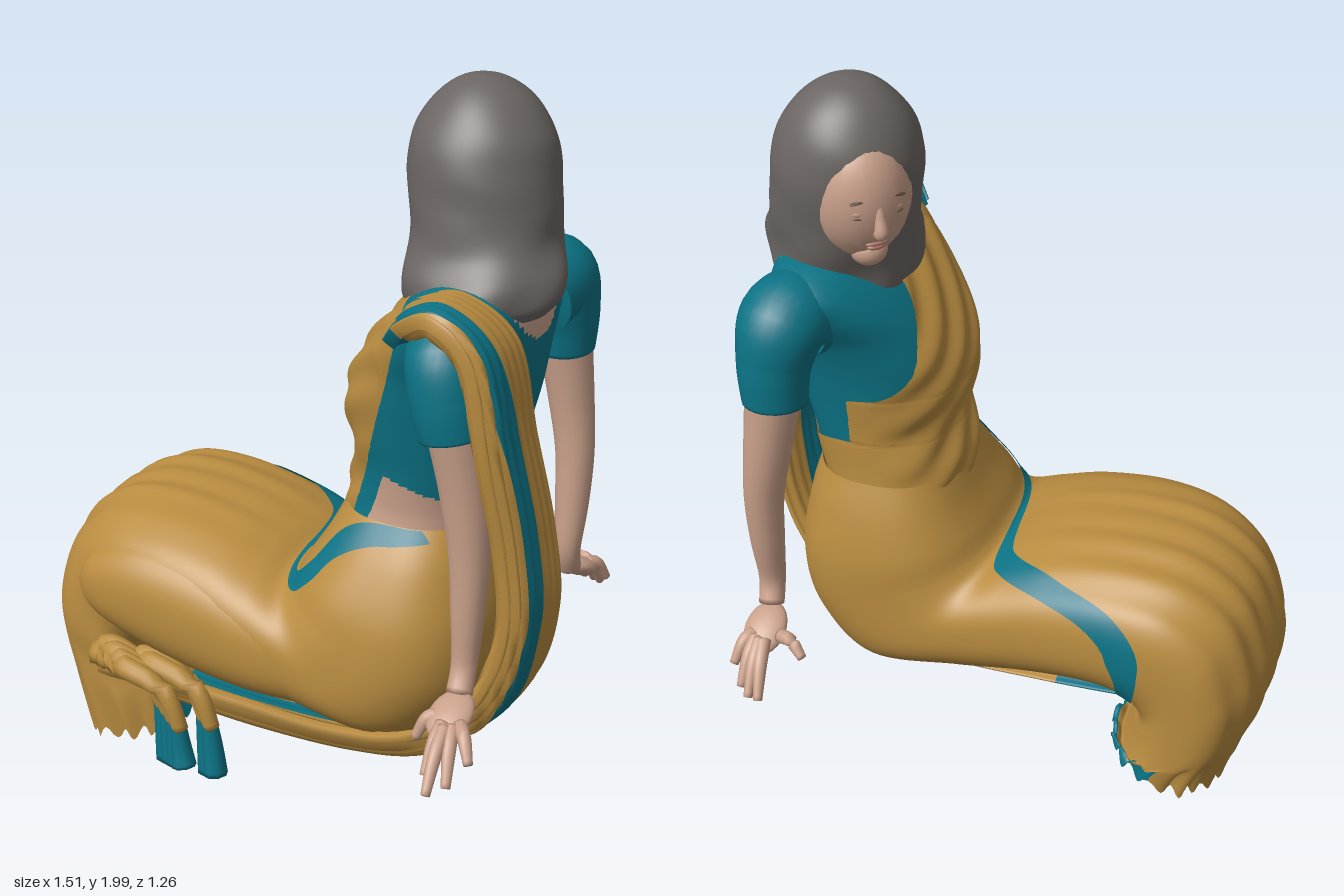
import * as THREE from 'three';

const V = (x, y, z) => new THREE.Vector3(x, y, z);
const smooth = THREE.MathUtils.smoothstep;
const TAU = Math.PI * 2;
const mat = (name, color, side = THREE.FrontSide) => {
  const m = new THREE.MeshStandardMaterial({ color, side });
  m.name = name;
  return m;
};

// Catmull-Rom through rows of numbers, u runs from 0 to 1
function spline(rows, u) {
  const n = rows.length - 1, f = Math.min(Math.max(u, 0), 1) * n;
  const i = Math.min(Math.floor(f), n - 1), t = f - i;
  const at = k => rows[Math.min(Math.max(k, 0), n)];
  const [a, b, c, d] = [at(i - 1), at(i), at(i + 1), at(i + 2)];
  return b.map((q, k) => q + 0.5 * t * (c[k] - a[k] + t * (2 * a[k] - 5 * q + 4 * c[k] - d[k]
    + t * (3 * (q - c[k]) + d[k] - a[k]))));
}

// Grid surface from a point rule; pick(point, u, v) chooses a material index per cell
function surf(name, mats, P, nu, nv, { wrap = true, pick = () => 0 } = {}) {
  const list = [].concat(mats), cols = wrap ? nv : nv + 1, pts = [], faces = list.map(() => []);
  for (let i = 0; i <= nu; i++) for (let j = 0; j < cols; j++) pts.push(P(i / nu, j / nv));
  const mid = pts.reduce((s, p) => s.add(p), V(0, 0, 0)).divideScalar(pts.length);
  let volume = 0;
  const tri = (out, a, b, c) => {
    const [p, q, r] = [a, b, c].map(k => pts[k].clone().sub(mid));
    volume += p.dot(q.cross(r));
    out.push(a, b, c);
  };
  for (let i = 0; i < nu; i++) for (let j = 0; j < nv; j++) {
    const k = (j + 1) % cols, a = i * cols + j, b = i * cols + k, c = a + cols, d = b + cols;
    const center = pts[a].clone().add(pts[d]).multiplyScalar(0.5);
    const out = faces[pick(center, (i + 0.5) / nu, (j + 0.5) / nv)];
    tri(out, a, b, d);
    tri(out, a, d, c);
  }
  if (volume < 0) for (const f of faces) for (let i = 0; i < f.length; i += 3) [f[i], f[i + 1]] = [f[i + 1], f[i]];
  const g = new THREE.BufferGeometry().setFromPoints(pts);
  g.setIndex(faces.flat());
  let start = 0;
  faces.forEach((f, i) => { g.addGroup(start, f.length, i); start += f.length; });
  g.computeVertexNormals();
  const mesh = new THREE.Mesh(g, list.length > 1 ? list : list[0]);
  mesh.name = name;
  return mesh;
}

// Section between a front point and a back point: rows of [fx, fy, bx, by, zMin, zMax]
function section(rows, u, a, k = 1, e = 0.85, ripple = 0) {
  const [fx, fy, bx, by, z0, z1] = spline(rows, u);
  const pw = q => Math.sign(q) * Math.abs(q) ** e;
  const z = (z0 + z1) / 2 + k * pw(Math.sin(a)) * (z1 - z0) / 2;
  let c = k * pw(Math.cos(a)) / 2;
  if (c > 0) c *= 1 + ripple * Math.sin(z * 58 + 1) * (z < 0.15 ? 1 : 0.3);
  return V((fx + bx) / 2 + c * (fx - bx), (fy + by) / 2 + c * (fy - by), z);
}

// Round limb through rows of [x, y, z, radius], with closed ends
function limb(name, m, rows, nu = 24, nv = 16) {
  const at = u => V(...spline(rows, u));
  return surf(name, m, (u, v) => {
    const i = Math.round(u * nu), w = Math.min(Math.max((i - 1) / (nu - 2), 0), 1);
    const r = i === 0 || i === nu ? 0 : spline(rows, w)[3];
    const t = at(w + 0.01).sub(at(w - 0.01)).normalize();
    const s = t.clone().cross(Math.abs(t.x) < 0.8 ? V(1, 0, 0) : V(0, 0, 1)).normalize();
    const b = t.cross(s), a = v * TAU;
    return at(w).addScaledVector(s, r * Math.cos(a)).addScaledVector(b, r * Math.sin(a));
  }, nu, nv);
}

export function createModel() {
  const gold = mat('gold cloth', 0xb98c40, THREE.DoubleSide);
  const teal = mat('teal cloth', 0x0c7385, THREE.DoubleSide);
  const grey = mat('grey scarf', 0x6b6663, THREE.DoubleSide);
  const skin = mat('skin', 0xc9a08a);
  const lip = mat('lips', 0xa97363);
  const dark = mat('brows', 0x5a453b);
  const root = new THREE.Group();
  root.name = 'seatedWoman';

  // Torso: blouse, bare midriff and back neckline
  const torso = [
    [0.11, 0.85, 0.49, 0.85, -0.24, 0.21], [0.11, 0.92, 0.51, 0.92, -0.235, 0.2],
    [0.135, 1.02, 0.535, 1.02, -0.235, 0.21], [0.115, 1.12, 0.565, 1.12, -0.245, 0.23],
    [0.12, 1.22, 0.59, 1.22, -0.26, 0.25], [0.165, 1.32, 0.6, 1.32, -0.29, 0.27],
    [0.23, 1.41, 0.6, 1.41, -0.34, 0.3], [0.3, 1.48, 0.585, 1.48, -0.36, 0.31],
    [0.36, 1.525, 0.55, 1.525, -0.29, 0.24], [0.42, 1.55, 0.49, 1.55, -0.1, 0.06]];
  const torsoAt = (u, a, k) => section(torso, u, a, k, 0.9);
  root.add(surf('torso', [teal, skin], (u, v) => torsoAt(u, v * TAU, 1), 130, 120, {
    pick: p => (p.y < 1.02 - 0.3 * (p.x - 0.27) || (p.x > 0.42 && p.y > 1.38 + 5 * (p.z + 0.04) ** 2) ? 1 : 0),
  }));

  // Cloth wrapped across the chest, with a teal border on its left edge
  const wrapped = p => (p.z > 0
    ? p.x < 0.19 + 0.33 * (p.y - 0.87)
    : (p.x < 0.36 && p.y < 1.1 + 2.1 * (p.z + 0.27)) || p.y < 0.88 - 0.55 * p.z);
  const rows = 80, top = 0.8;
  const spans = Array.from({ length: rows + 1 }, (_, i) => {
    const u = i / rows * top, reach = step => {
      let a = 0.5;
      while (Math.abs(a) < 3 && wrapped(torsoAt(u, a, 1))) a += step;
      return a;
    };
    return [reach(-0.01), reach(0.01)];
  });
  root.add(surf('chestWrap', gold, (u, v) => {
    const [a, b] = spans[Math.round(u * rows)];
    const p = torsoAt(u * top, a + (b - a) * v, 1.035);
    if (p.x < 0.3) p.x += 0.006 * Math.sin((p.y - 0.9 * p.z) * 48);
    return p;
  }, rows, 70, { wrap: false }));
  root.add(surf('chestBorder', teal, (u, v) =>
    torsoAt(u * top, spans[Math.round(u * rows)][1] + 0.3 * v - 0.03, 1.04), rows, 6, { wrap: false }));

  // Skirt: one sweep from the waist over the thighs, around the knees to the hem
  const skirt = [
    [0.12, 0.89, 0.5, 0.89, -0.25, 0.22], [0.08, 0.8, 0.535, 0.78, -0.285, 0.29],
    [0.04, 0.73, 0.565, 0.6, -0.31, 0.35], [0.01, 0.68, 0.53, 0.42, -0.31, 0.375],
    [-0.02, 0.67, 0.38, 0.27, -0.31, 0.385], [-0.08, 0.7, 0.1, 0.29, -0.31, 0.385],
    [-0.2, 0.74, -0.1, 0.32, -0.315, 0.38], [-0.38, 0.76, -0.28, 0.34, -0.33, 0.37],
    [-0.55, 0.735, -0.38, 0.33, -0.34, 0.35], [-0.68, 0.64, -0.42, 0.28, -0.34, 0.33],
    [-0.745, 0.48, -0.4, 0.24, -0.34, 0.33], [-0.75, 0.35, -0.38, 0.2, -0.34, 0.32],
    [-0.71, 0.2, -0.36, 0.16, -0.34, 0.32], [-0.66, 0.02, -0.34, 0.09, -0.33, 0.31]];
  const skirtAt = (u, a, k) => section(skirt, u, a, k, 0.78, 0.03 * smooth(u, 0.3, 0.65));
  root.add(surf('skirt', [gold, teal], (u, v) => {
    const a = v * TAU, hem = smooth(u, 0.88, 1);
    const p = skirtAt(u, a, 1 + 0.025 * hem * Math.sin(a * 15));
    const lift = Math.max(0, 0.2 - p.z) * (Math.cos(a) < 0 ? 0.18 - 0.15 * Math.cos(a) : 0.18);
    p.y += hem * (lift + 0.018 * Math.sin(a * 23));
    return p;
  }, 120, 140, { pick: (p, u, v) => (u > 0.94 && Math.cos(v * TAU) < 0 && p.z < 0.2 ? 1 : 0) }));

  // Teal border running from the waist across the lap
  const path = [[0.12, 0.32], [0.35, 0.23], [0.9, 0.165], [1.9, 0.13], [2.9, 0.09], [3.6, 0], [4.3, -0.065],
    [5, -0.1], [6, -0.145], [7, -0.2], [7.8, -0.27], [8.1, -0.35]];
  root.add(surf('skirtBorder', teal, (s, t) => {
    const [u, v] = spline(path, s);
    return skirtAt((u + (t - 0.5) * 0.45) / 13, (v + (t - 0.5) * 0.027) * TAU, 1.018);
  }, 80, 4, { wrap: false }));

  // Near thigh and knee under the cloth
  const thigh = [
    [0.25, 0.6, 0.25, 0.34, 0.05, 0.37], [0, 0.64, 0, 0.32, 0.05, 0.39], [-0.2, 0.69, -0.2, 0.33, 0.05, 0.395],
    [-0.4, 0.7, -0.4, 0.37, 0.05, 0.39], [-0.54, 0.65, -0.54, 0.42, 0.07, 0.365], [-0.605, 0.56, -0.605, 0.49, 0.13, 0.31]];
  root.add(surf('leftThigh', gold, (u, v) =>
    section(thigh, u, v * TAU, u === 0 || u === 1 ? 0 : 1), 40, 48));

  // Long sash over the left shoulder, down the back and around the hip: rows of two edges
  const sash = [
    [0.37, 1.43, 0.32, 0.3, 1.44, 0.1], [0.43, 1.5, 0.37, 0.37, 1.5, 0.14], [0.51, 1.535, 0.4, 0.49, 1.535, 0.16],
    [0.6, 1.45, 0.4, 0.62, 1.44, 0.14], [0.645, 1.2, 0.385, 0.665, 1.2, 0.12], [0.68, 0.95, 0.35, 0.715, 0.95, 0.1],
    [0.685, 0.72, 0.335, 0.73, 0.72, 0.08], [0.6, 0.5, 0.335, 0.655, 0.48, 0.04], [0.42, 0.36, 0.345, 0.46, 0.27, 0],
    [0.2, 0.32, 0.355, 0.22, 0.18, -0.02], [-0.08, 0.32, 0.355, -0.08, 0.15, 0], [-0.38, 0.3, 0.33, -0.4, 0.16, 0]];
  const across = v => 0.5 + 0.5 * Math.cos(v * TAU);
  root.add(surf('sash', [gold, teal], (u, v) => {
    const sides = w => { const r = spline(sash, w); return [V(r[0], r[1], r[2]), V(r[3], r[4], r[5])]; };
    const [A, B] = sides(u), [C, D] = sides(u - 0.01), [E, F] = sides(u + 0.01);
    const n = E.add(F).sub(C).sub(D).cross(B.clone().sub(A)).normalize();
    const s = across(v) ** (1.6 - 0.6 * smooth(u, 0.15, 0.4) - 0.4 * smooth(u, 0.5, 0.75));
    const fold = 0.003 + 0.013 * (1 - smooth(across(v), 0.22, 0.4));
    const belly = 0.05 * smooth(u, 0.55, 0.8) * Math.sin(s * Math.PI);
    return A.lerp(B, s).addScaledVector(n, 0.025 * Math.sin(v * TAU) + fold * Math.sin(s * 48) + belly);
  }, 130, 72, {
    pick: (p, u, v) => {
      const s = across(v);
      return (s > 0.3 && s < 0.6) || (u < 0.06 && s < 0.6) || (u > 0.92 && s > 0.5) ? 1 : 0;
    },
  }));

  // Gathered sash end: gold folds ending in teal pleats
  for (let i = 0; i < 6; i++) {
    const x = -0.31 + i * 0.034, z = 0.345 + 0.025 * (i % 4);
    root.add(limb('sashFold', gold, [
      [-0.3 + i * 0.02, 0.3, 0.33, 0.025], [-0.5 + i * 0.03, 0.31 + i * 0.004, 0.35, 0.034],
      [-0.48 + i * 0.03, 0.365, z, 0.032], [x - 0.05, 0.33, z + 0.005, 0.027], [x, 0.22, z, 0.022]], 22, 12));
    root.add(limb('sashPleat', teal, [
      [x - 0.01, 0.25, z, 0.02], [x, 0.17, z, 0.028], [x + 0.012, 0.065 + 0.016 * (i % 4), z + 0.005, 0.034]], 12, 8));
  }

  // Sleeves and arms
  root.add(limb('leftSleeve', teal, [[0.47, 1.4, 0.2, 0.1], [0.5, 1.42, 0.29, 0.1],
    [0.52, 1.33, 0.315, 0.095], [0.54, 1.235, 0.32, 0.083]], 26, 28));
  root.add(limb('rightSleeve', teal, [[0.47, 1.39, -0.24, 0.12], [0.485, 1.405, -0.345, 0.117],
    [0.5, 1.31, -0.38, 0.097], [0.5, 1.2, -0.388, 0.085]], 26, 28));
  root.add(limb('leftArm', skin, [[0.54, 1.27, 0.315, 0.075], [0.565, 1.1, 0.305, 0.064], [0.585, 0.92, 0.305, 0.053],
    [0.59, 0.75, 0.315, 0.043], [0.59, 0.62, 0.325, 0.034], [0.595, 0.55, 0.36, 0.034]]));
  root.add(limb('rightArm', skin, [[0.5, 1.25, -0.388, 0.075], [0.525, 1.05, -0.4, 0.062], [0.545, 0.9, -0.395, 0.053],
    [0.55, 0.75, -0.38, 0.046], [0.55, 0.62, -0.365, 0.036], [0.545, 0.55, -0.39, 0.034]]));

  // Hands: a palm and five fingers, each bent upward in the middle
  const ball = (name, m, parent, p, s) => {
    const b = new THREE.Mesh(new THREE.SphereGeometry(1, 24, 16), m);
    b.name = name;
    b.position.set(...p);
    b.scale.set(...s);
    parent.add(b);
    return b;
  };
  const hand = (name, palm, tilt, tips) => {
    const g = new THREE.Group();
    g.name = name;
    ball('palm', skin, g, palm, [0.057, 0.028, 0.08]).rotation.x = tilt;
    tips.forEach(([x, y, z]) => {
      const sx = palm[0] + (x - palm[0]) * 0.4, sz = palm[2] + (z - palm[2]) * 0.3;
      g.add(limb('finger', skin, [[sx, palm[1], sz, 0.02], [(sx + x) / 2, (palm[1] + y) / 2 + 0.02, (sz + z) / 2, 0.018],
        [x, y, z, 0.012]], 12, 10));
    });
    root.add(g);
  };
  hand('leftHand', [0.605, 0.525, 0.425], 0.4,
    [[0.53, 0.46, 0.47], [0.61, 0.43, 0.57], [0.64, 0.41, 0.62], [0.675, 0.42, 0.58], [0.71, 0.47, 0.53]]);
  hand('rightHand', [0.535, 0.515, -0.46], -0.5,
    [[0.405, 0.49, -0.52], [0.495, 0.4, -0.62], [0.525, 0.4, -0.615], [0.555, 0.41, -0.59], [0.59, 0.45, -0.55]]);

  // Head scarf: rows of [y, centre x, centre z, radius], with a point hanging in front
  const scarf = [[1.43, 0.435, -0.035, 0.18], [1.47, 0.44, -0.03, 0.2], [1.53, 0.435, -0.04, 0.203],
    [1.61, 0.415, -0.08, 0.192], [1.7, 0.402, -0.1, 0.193], [1.79, 0.39, -0.11, 0.192], [1.87, 0.386, -0.115, 0.172],
    [1.94, 0.383, -0.12, 0.125], [1.985, 0.38, -0.12, 0.065], [2, 0.38, -0.12, 0]];
  root.add(surf('headScarf', grey, (u, v) => {
    const [y, x, z, r] = spline(scarf, u), a = v * TAU, low = 1 - smooth(y, 1.4, 1.75);
    const k = r * (1 + 0.04 * low * Math.sin(5 * a + y * 22) + 0.006 * Math.sin(3 * a - y * 40));
    const drop = 0.07 * low * Math.max(0, Math.cos(a - Math.PI * 1.25)) ** 2;
    return V(x + k * Math.cos(a), y + 0.02 * low * Math.sin(2 * a + 1) - drop, z + k * Math.sin(a));
  }, 70, 64));
  root.add(limb('neck', skin, [[0.44, 1.42, -0.04, 0.1], [0.4, 1.6, -0.09, 0.08]]));

  // Face, looking down over the right knee
  const face = new THREE.Group();
  face.name = 'face';
  face.position.set(0.397, 1.725, -0.117);
  face.rotation.set(0.15, -Math.PI * 0.75, 0, 'YXZ');
  ball('faceShape', skin, face, [0, 0.012, 0.082], [0.133, 0.185, 0.138]);
  ball('chin', skin, face, [0, -0.12, 0.15], [0.05, 0.045, 0.052]);
  face.add(limb('nose', skin, [[0, 0.045, 0.204, 0.012], [0, 0.01, 0.217, 0.014], [0, -0.025, 0.228, 0.018],
    [0, -0.036, 0.214, 0.016]]));
  ball('upperLip', lip, face, [0, -0.072, 0.201], [0.03, 0.007, 0.011]);
  ball('lowerLip', lip, face, [0, -0.086, 0.197], [0.024, 0.008, 0.012]);
  for (const s of [-1, 1]) {
    ball('eyelid', skin, face, [s * 0.047, 0.025, 0.19], [0.025, 0.015, 0.018]);
    ball('lashes', dark, face, [s * 0.047, 0.014, 0.199], [0.021, 0.004, 0.011]);
    ball('brow', dark, face, [s * 0.048, 0.06, 0.198], [0.027, 0.004, 0.008]).rotation.z = -s * 0.15;
  }
  root.add(face);
  return root;
}
